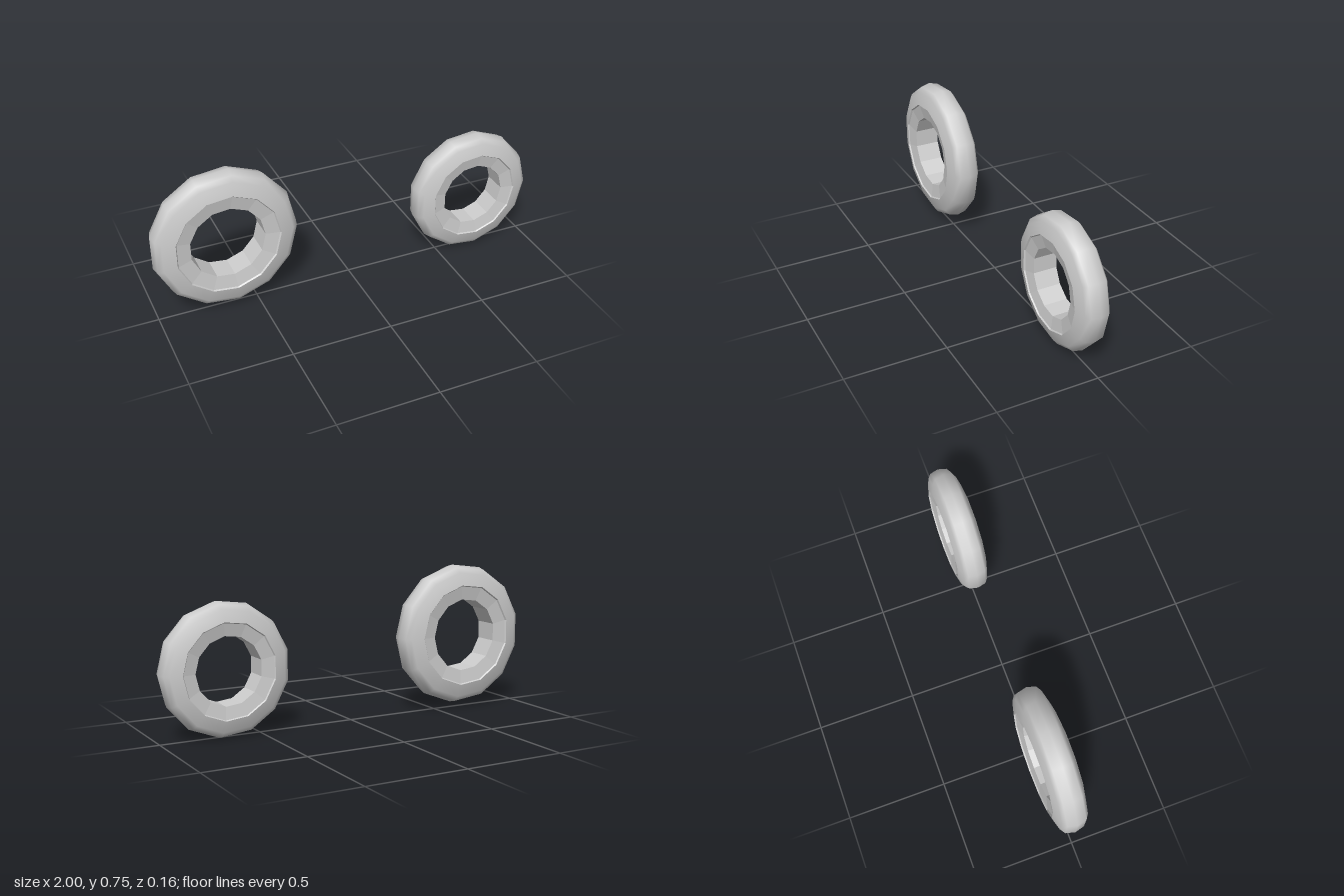
import * as THREE from 'three';

const SIDES = 13;

// Turns a [radius, z] profile around the wheel axle (z), with a corner on +x.
function turned(profile) {
  const points = profile.map(([r, z]) => new THREE.Vector2(r, z));
  return new THREE.LatheGeometry(points, SIDES, Math.PI / 2).rotateX(Math.PI / 2);
}

// Mirrors half a profile (z >= 0, ordered towards +z) to the other face.
function mirrored(half) {
  const back = half.filter(([, z]) => z > 0).map(([r, z]) => [r, -z]).reverse();
  return [...back, ...half];
}

// Rounded tread and sidewalls, running from the back face to the front
const TYRE = mirrored([[0.365, 0], [0.353, 0.047], [0.327, 0.065], [0.262, 0.082]]);
// Small step, dished face and straight bore, running from front to back
const RIM = mirrored([[0.187, 0.063], [0.257, 0.075], [0.262, 0.082]]).reverse();

function createWheel(name, x, y, scale, widthScale) {
  const wheel = new THREE.Group();
  wheel.name = name;

  const tyre = new THREE.Mesh(
    turned(TYRE),
    new THREE.MeshStandardMaterial({ color: 0xcccccc })
  );
  tyre.name = 'tyre';

  const rim = new THREE.Mesh(
    turned(RIM),
    new THREE.MeshStandardMaterial({ color: 0xcccccc, flatShading: true })
  );
  rim.name = 'rim';

  wheel.add(tyre, rim);
  wheel.scale.set(scale, scale, widthScale);
  wheel.position.set(x, y, 0);
  return wheel;
}

export function createModel() {
  const model = new THREE.Group();
  model.name = 'wheelPair';
  model.add(
    createWheel('largeWheel', -0.645, 0.39, 1, 1),
    createWheel('smallWheel', 0.675, 0.323, 0.89, 0.95)
  );
  return model;
}
